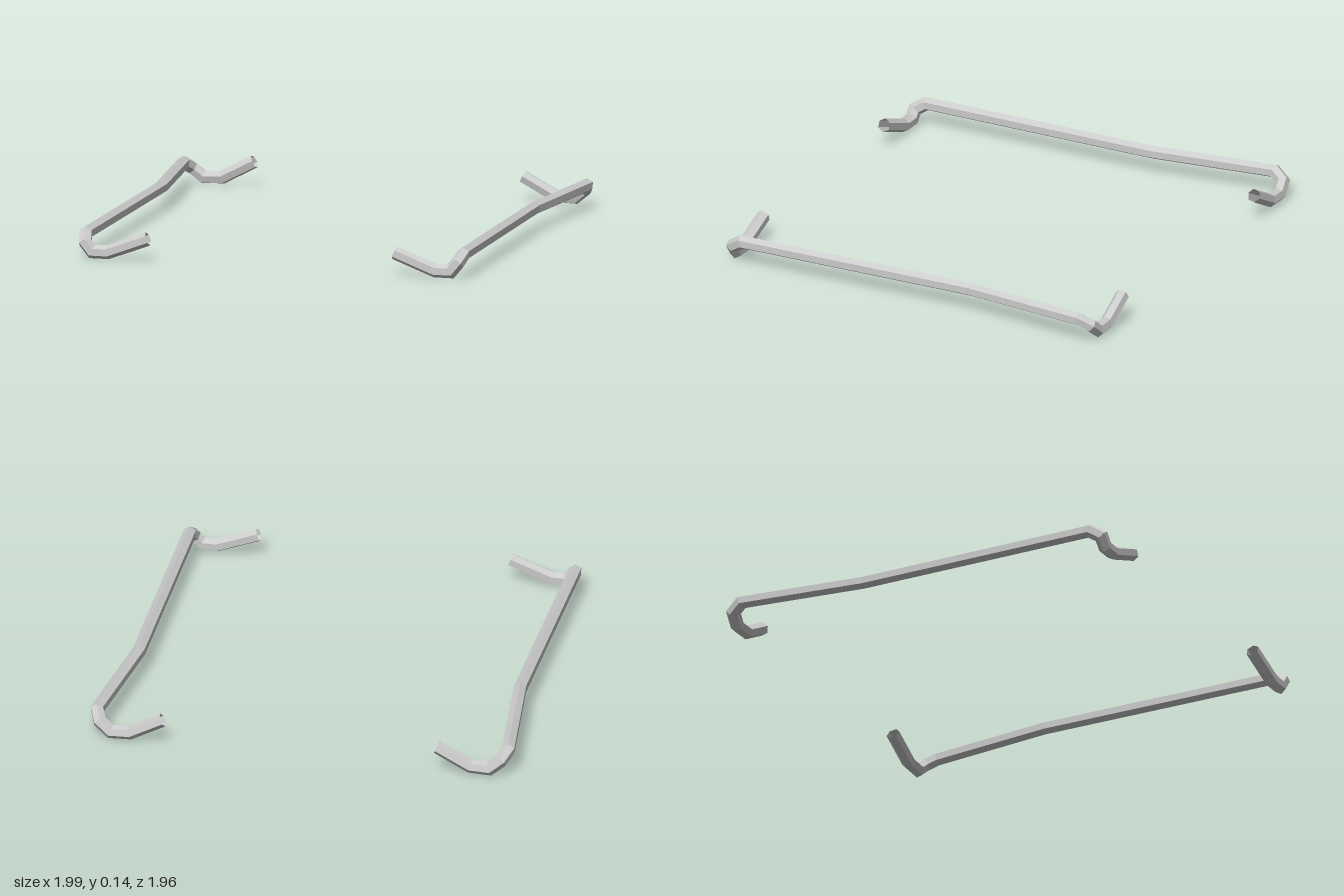
import * as THREE from 'three';

const RADIUS = 0.032;
const SIDES = 6;
const MAIN = 5; // index of the bend inside the long straight bar

// Centre line of the bar, from the rear hook tip to the front hook tip
const PATH = [
  [0.645, 0.122, -0.953],
  [0.8, 0.04, -0.953],
  [0.89, 0.037, -0.953],
  [0.943, 0.08, -0.945],
  [0.967, 0.11, -0.89],
  [0.896, 0.11, -0.29],
  [0.906, 0.11, 0.89],
  [0.893, 0.077, 0.942],
  [0.86, 0.037, 0.944],
  [0.785, 0.037, 0.944],
  [0.592, 0.11, 0.944],
];

// Sweeps a hexagon along the path with mitred bends
function sweepBar(points) {
  const last = points.length - 1;
  const dirs = points.slice(1).map((p, i) => p.clone().sub(points[i]).normalize());
  const planeNormal = (i) =>
    dirs[Math.max(i - 1, 0)].clone().add(dirs[Math.min(i, last - 1)]).normalize();

  // Slide a ring along a segment until it meets the mitre plane at point i
  const project = (ring, dir, i) => {
    const n = planeNormal(i);
    return ring.map((v) =>
      v.clone().addScaledVector(dir, points[i].clone().sub(v).dot(n) / dir.dot(n)));
  };

  const base = [];
  for (let j = 0; j < SIDES; j++) {
    const a = Math.PI / 2 + (j / SIDES) * Math.PI * 2;
    base.push(points[MAIN].clone().add(
      new THREE.Vector3(Math.cos(a) * RADIUS, Math.sin(a) * RADIUS, 0)));
  }
  const rings = [];
  rings[MAIN] = project(base, dirs[MAIN], MAIN);
  for (let i = MAIN + 1; i <= last; i++) rings[i] = project(rings[i - 1], dirs[i - 1], i);
  for (let i = MAIN - 1; i >= 0; i--) rings[i] = project(rings[i + 1], dirs[i], i);

  const index = [];
  for (let i = 0; i < last; i++) {
    for (let j = 0; j < SIDES; j++) {
      const k = (j + 1) % SIDES;
      const a = i * SIDES + j, b = i * SIDES + k;
      const c = b + SIDES, d = a + SIDES;
      index.push(a, b, c, a, c, d);
    }
  }
  const geometry = new THREE.BufferGeometry().setFromPoints(rings.flat());
  geometry.setIndex(index);
  geometry.computeVertexNormals();
  return geometry;
}

export function createModel() {
  const model = new THREE.Group();
  model.name = 'hookedBars';
  // Open-ended tube
  const material = new THREE.MeshStandardMaterial({
    color: 0xcccccc, flatShading: true, side: THREE.DoubleSide,
  });
  // Mirrored pair of bars
  for (const [name, s] of [['leftBar', 1], ['rightBar', -1]]) {
    const points = PATH.map(([x, y, z]) => new THREE.Vector3(x * s, y, z));
    const bar = new THREE.Mesh(sweepBar(points), material);
    bar.name = name;
    model.add(bar);
  }
  return model;
}
